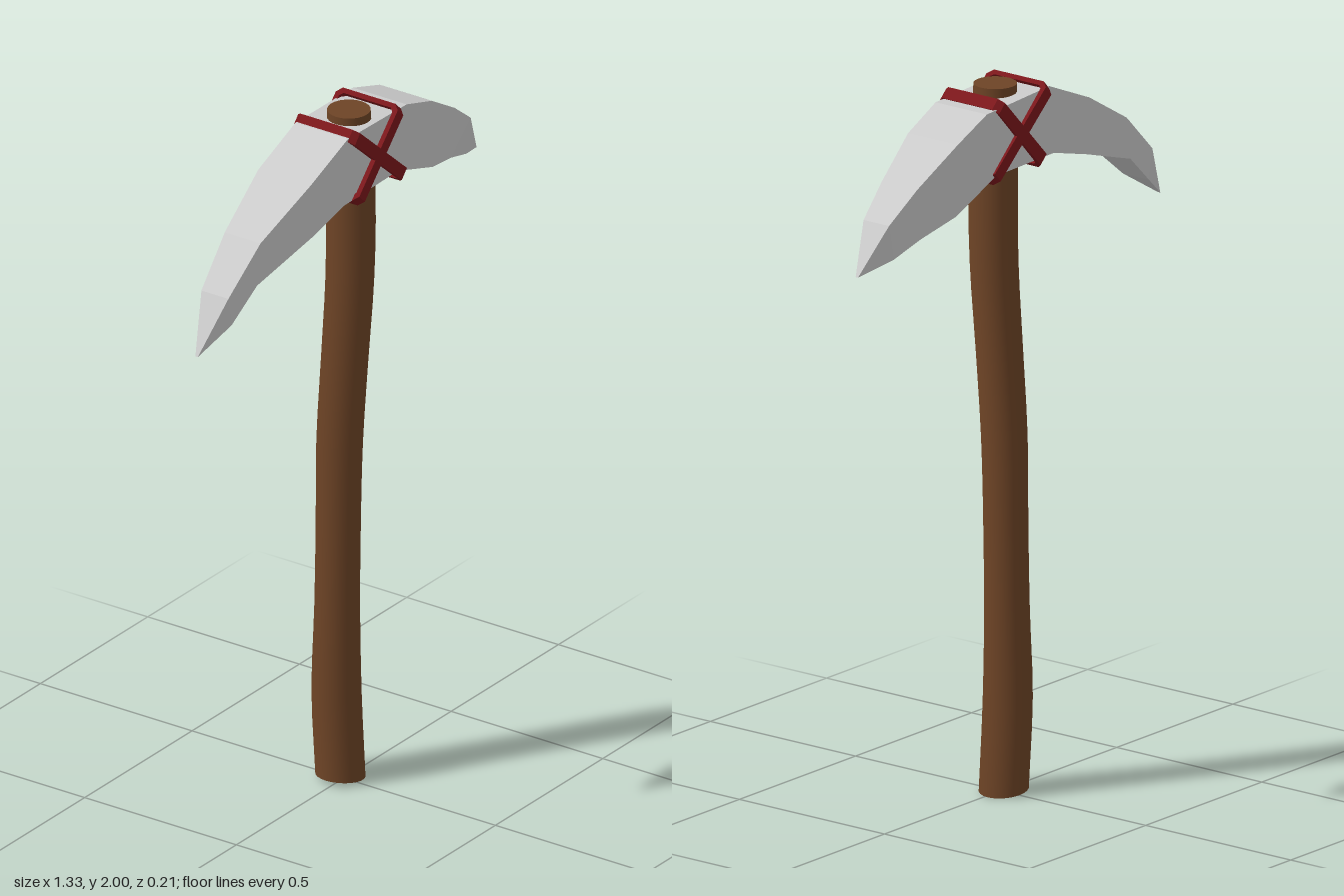
import * as THREE from 'three';

const wood = new THREE.MeshStandardMaterial({ color: 0x6e4426 });
const metal = new THREE.MeshStandardMaterial({ color: 0xcccccc, flatShading: true });
const leather = new THREE.MeshStandardMaterial({ color: 0x7c171b, flatShading: true });

// Round shaft bent along a gently wavering centre line
function makeHandle() {
  // evenly spaced from bottom to top: centre x, centre z, radius
  const keys = [
    [0, -0.011, 0.068], [-0.012, -0.015, 0.068], [-0.005, -0.018, 0.062],
    [0, -0.018, 0.061], [0.005, -0.017, 0.063], [0.013, -0.006, 0.064],
    [0.022, 0.005, 0.066], [0.023, 0.007, 0.067], [0.017, 0.005, 0.059],
  ];
  const path = new THREE.CatmullRomCurve3(keys.map(k => new THREE.Vector3(...k)), false, 'catmullrom');
  const geo = new THREE.CylinderGeometry(1, 1, 1, 24, 24);
  const pos = geo.attributes.position;
  for (let i = 0; i < pos.count; i++) {
    const t = THREE.MathUtils.clamp(pos.getY(i) + 0.5, 0, 1);
    const k = path.getPoint(t);
    const x = k.x + pos.getX(i) * k.z;
    const z = k.y + pos.getZ(i) * k.z;
    // the foot is cut slightly askew
    const y = 2 * t + (1 - t) * (0.009 - 0.12 * x);
    pos.setXYZ(i, x, y, z);
  }
  const handle = new THREE.Mesh(geo, wood);
  handle.name = 'handle';
  return handle;
}

// Curved two-pointed blade, lofted through four-cornered sections
function makeHead() {
  // top x, top y, bottom x, bottom y, back z, front z
  const sections = [
    [-0.668, 1.527, -0.668, 1.527, -0.016, -0.008],
    [-0.585, 1.68, -0.57, 1.595, -0.055, 0.034],
    [-0.458, 1.80, -0.474, 1.68, -0.068, 0.05],
    [-0.27, 1.907, -0.257, 1.75, -0.09, 0.082],
    [-0.1, 1.98, -0.12, 1.787, -0.088, 0.085],
    [0.18, 1.97, 0.14, 1.787, -0.097, 0.08],
    [0.32, 1.92, 0.325, 1.72, -0.108, 0.063],
    [0.474, 1.828, 0.458, 1.685, -0.092, 0.03],
    [0.58, 1.75, 0.56, 1.65, -0.08, 0.008],
    [0.664, 1.617, 0.664, 1.617, -0.04, -0.032],
  ];
  const rings = sections.map(([tx, ty, bx, by, back, front]) => [
    [tx, ty, front], [tx, ty, back], [bx, by, back], [bx, by, front],
  ]);
  const verts = [];
  for (let s = 0; s < rings.length - 1; s++) {
    const a = rings[s], b = rings[s + 1];
    for (let i = 0; i < 4; i++) {
      const j = (i + 1) % 4;
      verts.push(...a[i], ...b[i], ...b[j], ...a[i], ...b[j], ...a[j]);
    }
  }
  const geo = new THREE.BufferGeometry();
  geo.setAttribute('position', new THREE.Float32BufferAttribute(verts, 3));
  geo.computeVertexNormals();
  const head = new THREE.Mesh(geo, metal);
  head.name = 'head';
  return head;
}

// Rectangle outline with clipped corners
function clipped(path, w, h, c) {
  path.setFromPoints([
    [-w + c, -h], [w - c, -h], [w, -h + c], [w, h - c],
    [w - c, h], [-w + c, h], [-w, h - c], [-w, -h + c],
  ].map(p => new THREE.Vector2(...p)));
  return path;
}

// Flat strap looped diagonally round the head between two points
function makeStrap(name, x0, y0, x1, y1) {
  const halfLength = Math.hypot(x1 - x0, y1 - y0) / 2;
  const halfDepth = 0.102, thick = 0.014, width = 0.036;
  const shape = clipped(new THREE.Shape(), halfLength, halfDepth, 0.016);
  shape.holes.push(clipped(new THREE.Path(), halfLength - thick, halfDepth - thick, 0.01));
  const geo = new THREE.ExtrudeGeometry(shape, { depth: width, bevelEnabled: false });
  geo.translate(0, 0, -width / 2);
  const along = new THREE.Vector3(x1 - x0, y1 - y0, 0).normalize();
  const deep = new THREE.Vector3(0, 0, 1);
  const across = new THREE.Vector3().crossVectors(along, deep);
  geo.applyMatrix4(new THREE.Matrix4().makeBasis(along, deep, across));
  geo.translate((x0 + x1) / 2, (y0 + y1) / 2, -0.001);
  const strap = new THREE.Mesh(geo, leather);
  strap.name = name;
  return strap;
}

export function createModel() {
  const group = new THREE.Group();
  group.name = 'pickaxe';
  group.add(
    makeHandle(),
    makeHead(),
    makeStrap('fallingStrap', -0.09, 1.985, 0.152, 1.773),
    makeStrap('risingStrap', -0.068, 1.775, 0.133, 1.985),
  );
  return group;
}
